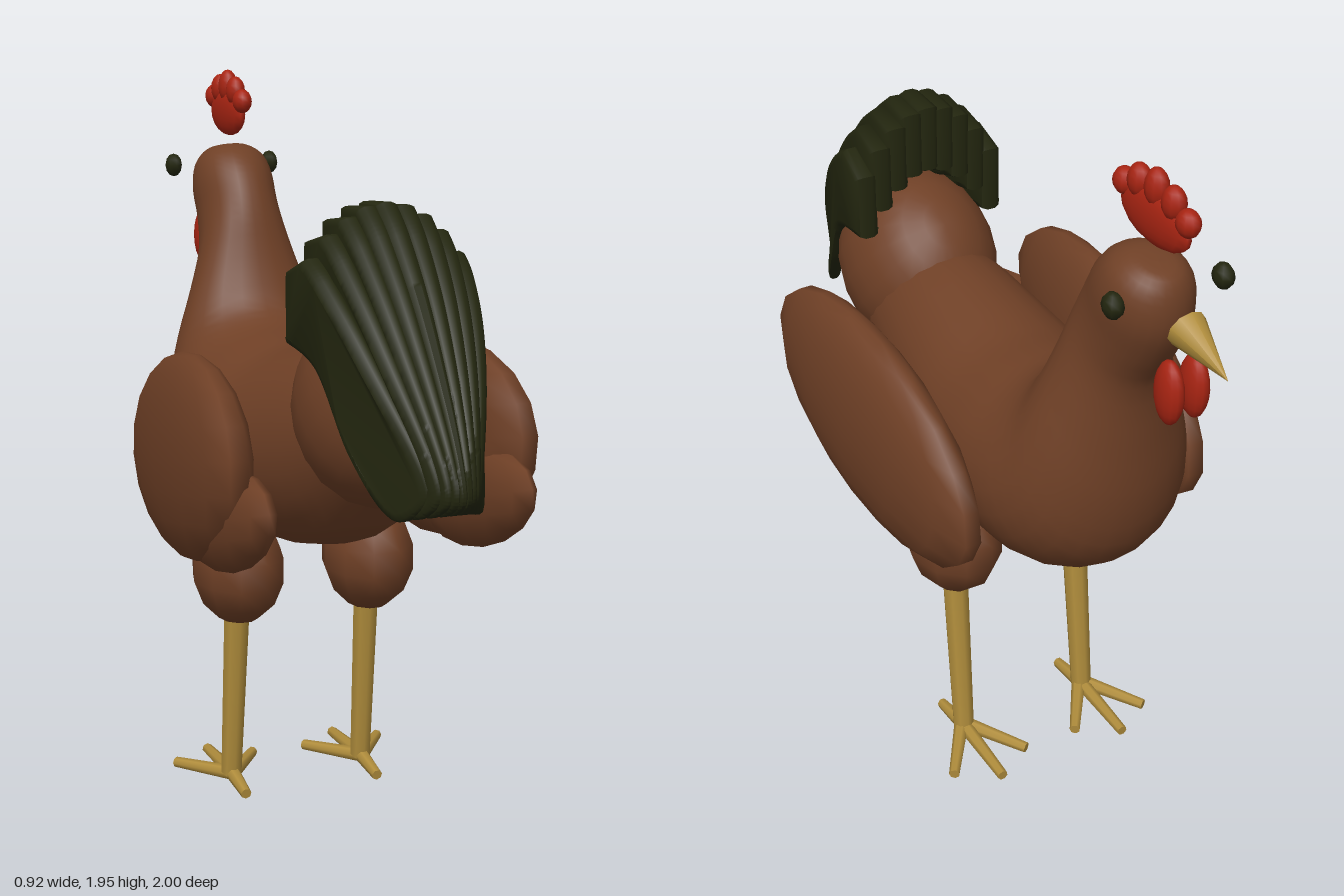
import * as THREE from 'three';
import { mergeVertices, toCreasedNormals } from 'three/addons/utils/BufferGeometryUtils.js';

const material = (name, color) => {
  const m = new THREE.MeshStandardMaterial({ color });
  m.name = name;
  return m;
};

export function createModel() {
  const brown = material('brown plumage', 0x6f4026);
  const dark = material('dark feather', 0x23260f);
  const red = material('red comb', 0xa82412);
  const horn = material('yellow horn', 0xb08d3c);
  const model = new THREE.Group();

  const add = (name, geometry, mat) => {
    const mesh = new THREE.Mesh(geometry, mat);
    mesh.name = name;
    model.add(mesh);
    return mesh;
  };
  // Ellipsoid given by centre, half sizes and rotation
  const blob = (name, mat, pos, size, rot = [0, 0, 0], w = 14, h = 10) => {
    const mesh = add(name, new THREE.SphereGeometry(1, w, h), mat);
    mesh.position.set(...pos);
    mesh.scale.set(...size);
    mesh.rotation.set(...rot);
    return mesh;
  };
  // Tapered rod between two points
  const rod = (name, mat, from, to, r0, r1, sides = 8) => {
    const a = new THREE.Vector3(...from), b = new THREE.Vector3(...to);
    const dir = b.clone().sub(a);
    const mesh = add(name, new THREE.CylinderGeometry(r1, r0, dir.length(), sides), mat);
    mesh.position.copy(a).add(b).multiplyScalar(0.5);
    mesh.quaternion.setFromUnitVectors(new THREE.Vector3(0, 1, 0), dir.normalize());
    return mesh;
  };

  // Body, neck and head: rings of [upper z, upper y, lower z, lower y, half width]
  const rings = [
    [0.64, 1.15, 0.64, 1.15, 0], [0.61, 1.22, 0.62, 1.07, 0.09], [0.5, 1.28, 0.54, 0.97, 0.16],
    [0.33, 1.31, 0.4, 0.84, 0.2], [0.1, 1.28, 0.2, 0.765, 0.24], [-0.08, 1.25, 0, 0.72, 0.27],
    [-0.2, 1.26, -0.25, 0.715, 0.285], [-0.29, 1.275, -0.47, 0.755, 0.28], [-0.36, 1.32, -0.6, 0.86, 0.25],
    [-0.405, 1.4, -0.65, 1.02, 0.21], [-0.435, 1.48, -0.66, 1.2, 0.165], [-0.46, 1.56, -0.675, 1.38, 0.128],
    [-0.49, 1.63, -0.735, 1.48, 0.115], [-0.53, 1.69, -0.78, 1.57, 0.115], [-0.58, 1.73, -0.785, 1.65, 0.1],
    [-0.64, 1.745, -0.765, 1.705, 0.06], [-0.71, 1.73, -0.71, 1.73, 0],
  ];
  const upper = new THREE.CatmullRomCurve3(rings.map(r => new THREE.Vector3(r[4], r[1], r[0])));
  const lower = new THREE.CatmullRomCurve3(rings.map(r => new THREE.Vector3(0, r[3], r[2])));
  const N = 48, S = 24, pos = [], idx = [];
  for (let i = 0; i <= N; i++) {
    const u = upper.getPoint(i / N), l = lower.getPoint(i / N);
    for (let j = 0; j < S; j++) {
      const a = j / S * Math.PI * 2, c = Math.cos(a) / 2;
      pos.push(Math.max(u.x, 0) * Math.sin(a), (u.y + l.y) / 2 + c * (u.y - l.y), (u.z + l.z) / 2 + c * (u.z - l.z));
      if (i === N) continue;
      const p = i * S + j, q = i * S + (j + 1) % S;
      idx.push(p, q, p + S, q, q + S, p + S);
    }
  }
  const bodyGeometry = new THREE.BufferGeometry();
  bodyGeometry.setAttribute('position', new THREE.Float32BufferAttribute(pos, 3));
  bodyGeometry.setIndex(idx);
  bodyGeometry.computeVertexNormals();
  add('body', bodyGeometry, brown);
  blob('tailBase', brown, [0, 1.2, 0.5], [0.215, 0.25, 0.27], [-0.75, 0, 0], 20, 12);

  // Tail: curved blades side by side, drawn together towards the tip
  const outline = [[0.6, 1.42], [0.75, 1.2], [0.89, 1.04], [0.98, 1.05], [1, 1.11],
    [0.92, 1.26], [0.76, 1.48], [0.62, 1.63], [0.53, 1.7]];
  const shape = new THREE.Shape();
  shape.moveTo(-0.41, 1.69);
  shape.lineTo(-0.41, 1.51);
  shape.splineThru(outline.map(([z, y]) => new THREE.Vector2(-z, y)));
  shape.closePath();
  const blade = new THREE.ExtrudeGeometry(shape, {
    depth: 0.024, curveSegments: 18, bevelThickness: 0.02, bevelSize: 0.02, bevelOffset: -0.02, bevelSegments: 2,
  });
  blade.translate(0, 0, -0.012).rotateY(Math.PI / 2);
  blade.deleteAttribute('uv');
  blade.deleteAttribute('normal');
  for (let i = -4; i <= 4; i++) {
    const g = mergeVertices(blade.clone());
    const p = g.attributes.position, u2 = (i / 4) ** 2;
    for (let k = 0; k < p.count; k++) {
      const z = p.getZ(k);
      const t = THREE.MathUtils.clamp((z - 0.41) / 0.59, 0, 1);
      p.setXYZ(k, (p.getX(k) + i * 0.047) * (1 - 0.68 * t ** 2.2),
        p.getY(k) - 0.16 * u2 * (1 - t), 0.41 + (z - 0.41) * (1 - 0.1 * u2));
    }
    add('tailFeather', toCreasedNormals(g, 0.9), dark);
  }

  // Comb and beak
  blob('combBase', red, [0, 1.83, -0.69], [0.026, 0.065, 0.14]);
  [[-0.56, 1.87, 0.034], [-0.62, 1.895, 0.042], [-0.69, 1.905, 0.048], [-0.76, 1.895, 0.042], [-0.818, 1.87, 0.034]]
    .forEach(([z, y, r]) => blob('combPoint', red, [0, y, z], [0.028, r, 0.034], [0, 0, 0], 10, 8));
  rod('beak', horn, [0, 1.617, -0.832], [0, 1.565, -1], 0.05, 0, 10);

  // Paired parts
  for (const s of [1, -1]) {
    const side = s > 0 ? 'left' : 'right';
    blob(side + 'Eye', dark, [s * 0.148, 1.677, -0.755], [0.025, 0.033, 0.033], [0, 0, 0], 8, 6);
    blob(side + 'Wattle', red, [s * 0.034, 1.457, -0.825], [0.03, 0.083, 0.048]);
    blob(side + 'Wing', brown, [s * 0.357, 1.0, 0.06], [0.1, 0.275, 0.52], [-0.2, s * 0.05, 0]);
    blob(side + 'WingTip', brown, [s * 0.342, 0.895, 0.34], [0.068, 0.13, 0.33], [-0.3, 0, 0], 12, 8);
    blob(side + 'Thigh', brown, [s * 0.19, 0.655, -0.055], [0.127, 0.16, 0.16], [0, 0, 0], 10, 7);
    rod(side + 'Leg', horn, [s * 0.195, 0.03, -0.112], [s * 0.19, 0.56, -0.06], 0.03, 0.037);
    // Toes: three forward, one back
    for (const [x, z] of [[0, -0.34], [0.115, -0.27], [-0.115, -0.27], [0, 0.02]])
      rod(side + 'Toe', horn, [s * 0.195, 0.033, -0.1], [s * 0.195 + x, 0.017, z], 0.021, 0.015, 7);
  }
  return model;
}
